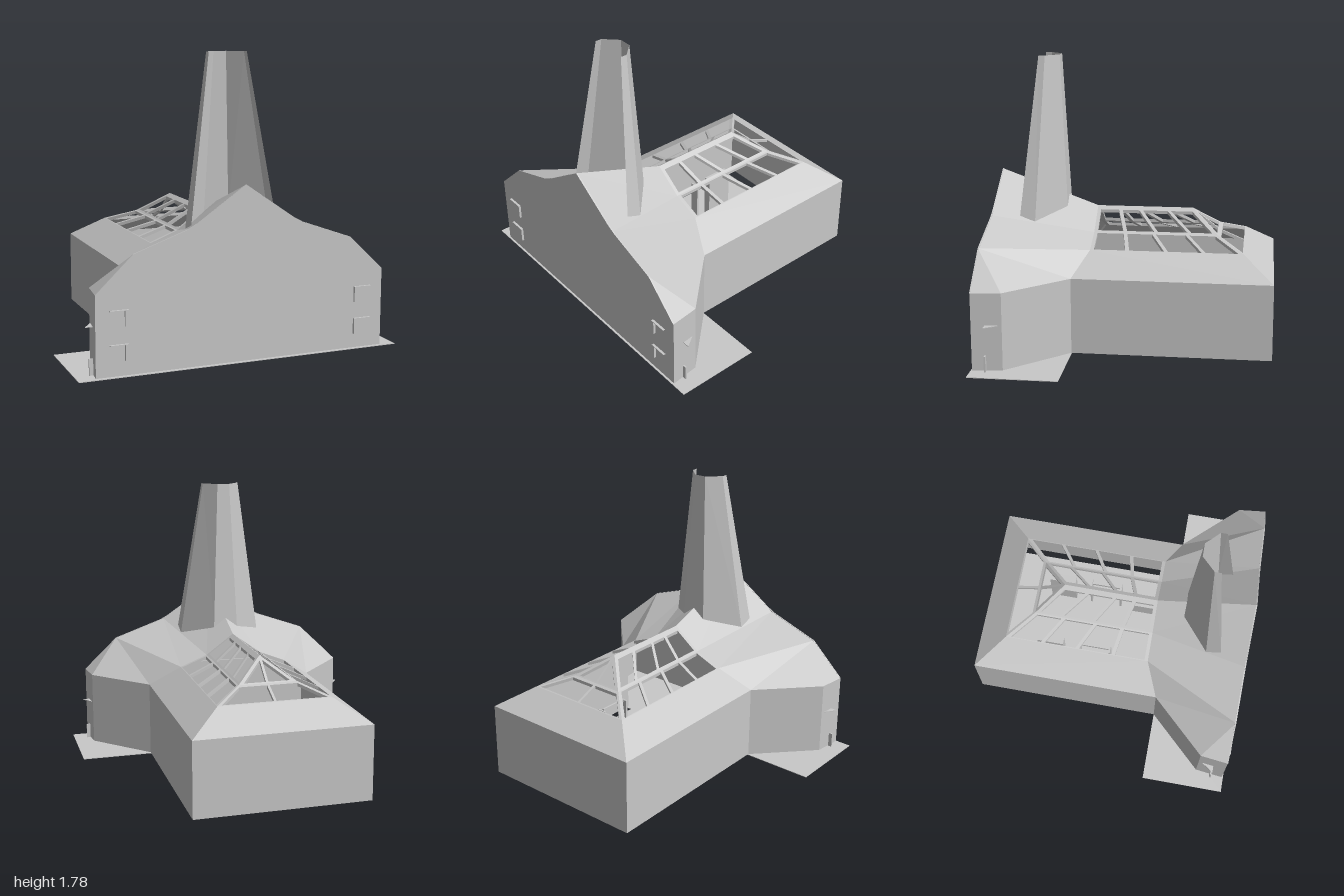
import * as THREE from 'three';

const concrete = new THREE.MeshStandardMaterial({ color: 0xc8c8c8, side: THREE.DoubleSide, flatShading: true });
concrete.name = 'pale grey';

function addMesh(parent, name, geometry) {
  const mesh = new THREE.Mesh(geometry, concrete);
  mesh.name = name;
  parent.add(mesh);
  return mesh;
}

function box(parent, name, w, h, d, x, y, z) {
  addMesh(parent, name, new THREE.BoxGeometry(w, h, d)).position.set(x, y, z);
}

// Plan outline [x, z] with holes, extruded upwards by t
function plan(points, holes, t) {
  const toPoints = (list) => list.map(([x, z]) => new THREE.Vector2(x, -z));
  const shape = new THREE.Shape(toPoints(points));
  shape.holes = holes.map((h) => new THREE.Path(toPoints(h)));
  return new THREE.ExtrudeGeometry(shape, { depth: t, bevelEnabled: false }).rotateX(-Math.PI / 2);
}

const mirrored = (half) => [...half, ...half.map(([x, z]) => [-x, z]).reverse()];

// Triangles from a list of corner points
function faces(points, index) {
  const g = new THREE.BufferGeometry();
  g.setAttribute('position', new THREE.Float32BufferAttribute(points.flat(), 3));
  g.setIndex(index);
  const flat = g.toNonIndexed();
  flat.computeVertexNormals();
  return flat;
}

// Roof height by distance from the ridge, and the hip line in plan
const profile = [[0, 0.812], [0.18, 0.68], [0.355, 0.61], [0.55, 0.48]];
const HIP = 0.52 / 0.55;
const hipZ = (x) => -0.88 + (0.55 - x) * HIP;
function height(x) {
  for (let i = 0; i < 3; i++) {
    const [x0, y0] = profile[i], [x1, y1] = profile[i + 1];
    if (x <= x1 + 1e-4) return y0 + ((y1 - y0) * (x - x0)) / (x1 - x0);
  }
  return 0.48;
}

// Plan plate lifted onto the side slope, or onto the rear slope
function roofPlate(parent, name, points, holes, rear) {
  const t = 0.02, g = plan(points, holes, t), p = g.attributes.position;
  for (let i = 0; i < p.count; i++) {
    const d = rear ? 0.55 - (p.getZ(i) + 0.88) / HIP : p.getX(i);
    p.setY(i, p.getY(i) - t + height(Math.max(0, d)));
  }
  g.computeVertexNormals();
  addMesh(parent, name, g);
}

// Row of slanting panes between two lines of constant x
function panes(xOut, zOut, xIn, zIn) {
  const w = 0.012, holes = [];
  for (let i = 0; i < zOut.length - 1; i++) {
    holes.push([[xOut, zOut[i] - w], [xIn, zIn[i] - w], [xIn, zIn[i + 1] + w], [xOut, zOut[i + 1] + w]]);
  }
  return holes;
}

function buildSide(side) {
  const g = new THREE.Group();
  g.name = side > 0 ? 'leftHalf' : 'rightHalf';
  g.scale.x = side;

  // Side slope of the rear hall with its skylights
  roofPlate(g, 'lowerRoof', [[0.55, 0.34], [0.355, 0.25], [0.355, hipZ(0.355)], [0.55, -0.88]], []);
  roofPlate(g, 'lowerSkylight', [[0.355, 0.25], [0.18, 0.25], [0.18, hipZ(0.18)], [0.355, hipZ(0.355)]],
    panes(0.35, [0.24, 0.02, -0.22, -0.45, -0.675], 0.19, [0.24, 0.05, -0.13, -0.34, -0.525]));
  roofPlate(g, 'upperSkylight', [[0.18, 0.25], [0, 0.25], [0, hipZ(0)], [0.18, hipZ(0.18)]],
    panes(0.168, [0.24, 0.055, -0.14, -0.35, -0.505], 0.028, [0.24, 0.1, -0.03, -0.21, -0.37]));

  // Flaring front roof, lofted from the hall to the gable
  const hall = [[0, 0.812, 0.25], [0.18, 0.68, 0.25], [0.355, 0.61, 0.25], [0.55, 0.48, 0.34]];
  const gable = [[0, 1.04, 0.87], [0.34, 0.81, 0.87], [0.68, 0.69, 0.87], [0.88, 0.48, 0.69], [0.9, 0.48, 0.87]];
  const index = [];
  for (let i = 0; i < 3; i++) index.push(i, i + 4, i + 1, i + 4, i + 5, i + 1);
  index.push(6, 8, 7);
  addMesh(g, 'frontRoof', faces([...hall, ...gable], index));

  // Brackets on the front wall
  for (const top of [0.19, 0.385]) {
    box(g, 'bracketPost', 0.02, 0.095, 0.02, 0.72, top - 0.0475, 0.875);
    box(g, 'bracketShelf', 0.1, 0.004, 0.02, 0.77, top - 0.002, 0.875);
  }
  // Small fins on the side wall
  box(g, 'sideFin', 0.03, 0.095, 0.01, 0.9, 0.0525, 0.79);
  addMesh(g, 'sideLedge', plan([[0.88, 0.71], [0.935, 0.79], [0.885, 0.79]], [], 0.004)).position.y = 0.28;

  // Frames inside the hall
  box(g, 'innerRail', 0.012, 0.02, 0.2, 0.225, 0.3, -0.13);
  for (const z of [-0.24, -0.03]) box(g, 'innerFrame', 0.06, 0.3, 0.012, 0.225, 0.155, z);
  box(g, 'innerBlock', 0.05, 0.3, 0.18, 0.225, 0.155, -0.44);
  box(g, 'innerBench', 0.1, 0.12, 0.17, 0.225, 0.065, 0.14);
  return g;
}

export function createModel() {
  const model = new THREE.Group();
  model.name = 'building';

  // T-shaped ground plate
  addMesh(model, 'basePlate', plan(mirrored([[0.48, -0.79], [0.48, 0.34], [1, 0.34], [1, 0.88]]), [], 0.004));

  // Outer walls, hollow inside
  const outer = mirrored([[0.55, -0.88], [0.55, 0.34], [0.88, 0.69], [0.9, 0.87]]);
  const inner = mirrored([[0.52, -0.85], [0.52, 0.355], [0.85, 0.7], [0.87, 0.85]]);
  addMesh(model, 'walls', plan(outer, [inner], 0.472)).position.y = 0.008;

  // Front gable
  const gableShape = new THREE.Shape(mirrored([[0.9, 0.48], [0.68, 0.69], [0.36, 0.803], [0.3, 0.835], [0, 1.04]])
    .map(([x, y]) => new THREE.Vector2(x, y)));
  addMesh(model, 'gable', new THREE.ExtrudeGeometry(gableShape, { depth: 0.008, bevelEnabled: false }))
    .position.z = 0.864;

  for (const side of [1, -1]) model.add(buildSide(side));

  // Rear hipped slope
  const z1 = hipZ(0.355), z2 = hipZ(0.18);
  roofPlate(model, 'rearRoof', mirrored([[0.55, -0.88], [0.355, z1]]), [], true);
  const flip = (hole) => [hole, hole.map(([x, z]) => [-x, z])];
  roofPlate(model, 'rearLowerSkylight', mirrored([[0.355, z1], [0.18, z2]]),
    flip([[0.008, z1 + 0.008], [0.325, z1 + 0.008], [0.182, z2 - 0.018], [0.008, z2 - 0.018]]), true);
  roofPlate(model, 'rearUpperSkylight', [[0.18, z2], [0, hipZ(0)], [-0.18, z2]],
    flip([[0.008, z2 + 0.008], [0.145, z2 + 0.008], [0.008, hipZ(0) - 0.03]]), true);

  // Tall folded tower, open to the front
  const base = [[0.27, 0.79, 0.705], [0.27, 0.76, 0.61], [0.08, 0.82, 0.435]];
  const top = [[0.12, 1.78, 0.6], [0.12, 1.78, 0.56], [0.04, 1.78, 0.48]];
  const both = (half) => [...half, ...half.map(([x, y, z]) => [-x, y, z]).reverse()];
  const index = [];
  for (let i = 0; i < 5; i++) index.push(i, i + 1, i + 6, i + 1, i + 7, i + 6);
  addMesh(model, 'tower', faces([...both(base), ...both(top)], index));

  return model;
}
